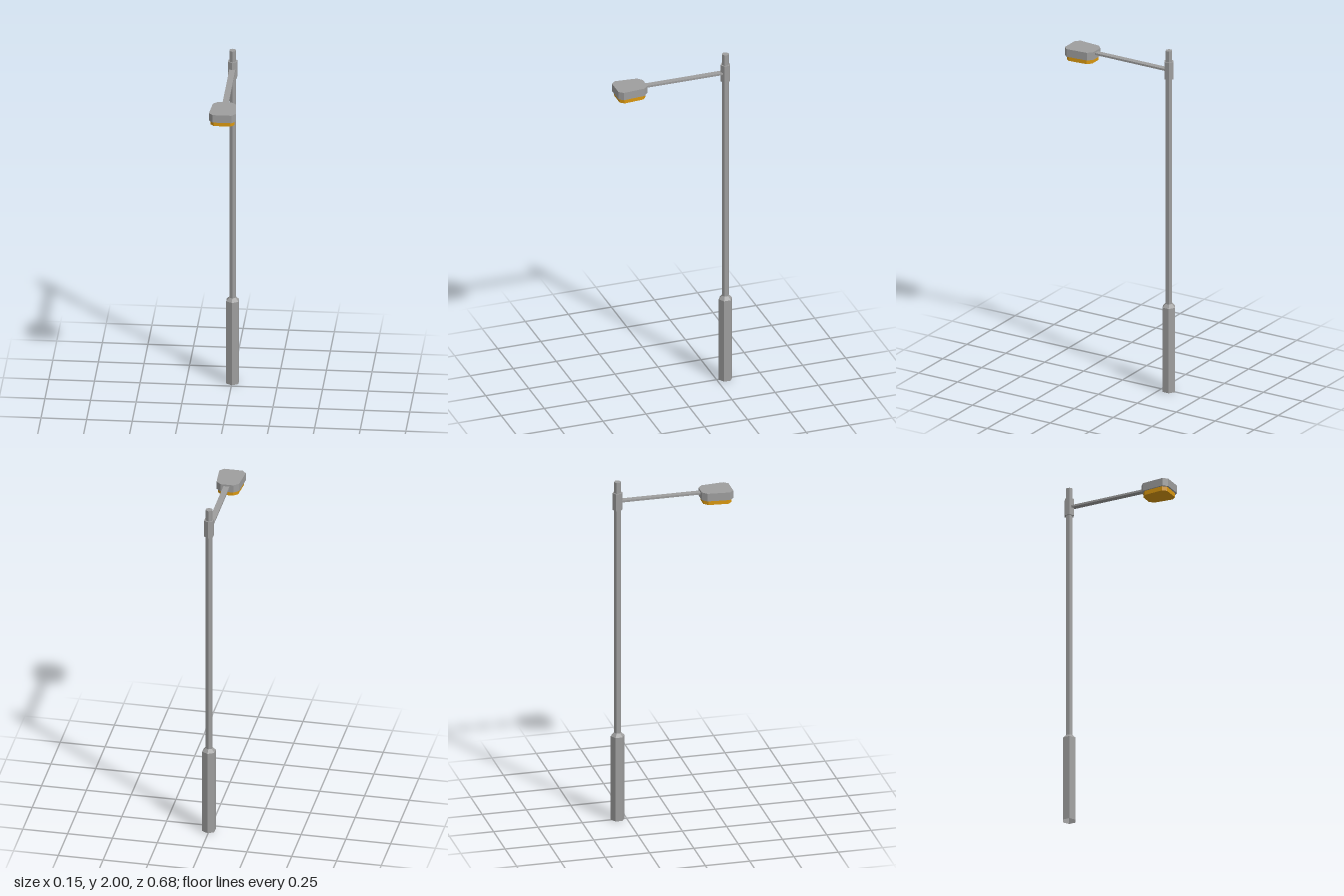
import * as THREE from 'three';

const grey = new THREE.MeshStandardMaterial({ color: 0x9e9e9e, flatShading: true });
const greyOpen = new THREE.MeshStandardMaterial({
  color: 0x9e9e9e, flatShading: true, side: THREE.DoubleSide });
const amber = new THREE.MeshStandardMaterial({ color: 0xda9810, flatShading: true });
const POST_X = 0.003;
const POST_Z = -0.3;
const HEAD_Z = 0.252;

function add(parent, name, geometry, material, x, y, z) {
  const mesh = new THREE.Mesh(geometry, material);
  mesh.name = name;
  mesh.position.set(x, y, z);
  parent.add(mesh);
}

// six-sided turned part from [radius, height] pairs, listed upwards
const hexLathe = (profile) =>
  new THREE.LatheGeometry(profile.map(([r, y]) => new THREE.Vector2(r, y)), 6);

// horizontal slab with the lamp outline, shrunk by a scale factor
function lampSlab(scale, height) {
  const half = [[0.036, 0.165], [0.063, 0.19], [0.074, 0.314], [0.052, 0.339]];
  const outline = [...half, ...half.map(([x, z]) => [-x, z]).reverse()];
  const shape = new THREE.Shape(
    outline.map(([x, z]) => new THREE.Vector2(x * scale, -(z - HEAD_Z) * scale)));
  return new THREE.ExtrudeGeometry(shape, { depth: height, bevelEnabled: false })
    .rotateX(-Math.PI / 2);
}

export function createModel() {
  const model = new THREE.Group();
  model.name = 'streetLamp';

  // post: wide base sleeve, open underneath, with a short tapered shoulder
  add(model, 'base', hexLathe([[0.039, 0], [0.039, 0.495], [0.02, 0.514]]),
    greyOpen, POST_X, 0, POST_Z);
  add(model, 'pole', hexLathe([[0.02, 0.514], [0.02, 2], [0, 2]]), grey, POST_X, 0, POST_Z);
  add(model, 'collar', hexLathe([[0.02, 1.836], [0.028, 1.836], [0.028, 1.936], [0.02, 1.936]]),
    grey, POST_X, 0, POST_Z);

  // flat arm reaching forward from the collar
  add(model, 'arm', new THREE.BoxGeometry(0.033, 0.011, 0.47), grey, POST_X, 1.887, -0.055);

  // lamp head with the glowing lens below
  add(model, 'lampHousing', lampSlab(1, 0.045), grey, 0, 1.858, HEAD_Z);
  add(model, 'lens', lampSlab(0.89, 0.025), amber, 0, 1.833, HEAD_Z);

  return model;
}
